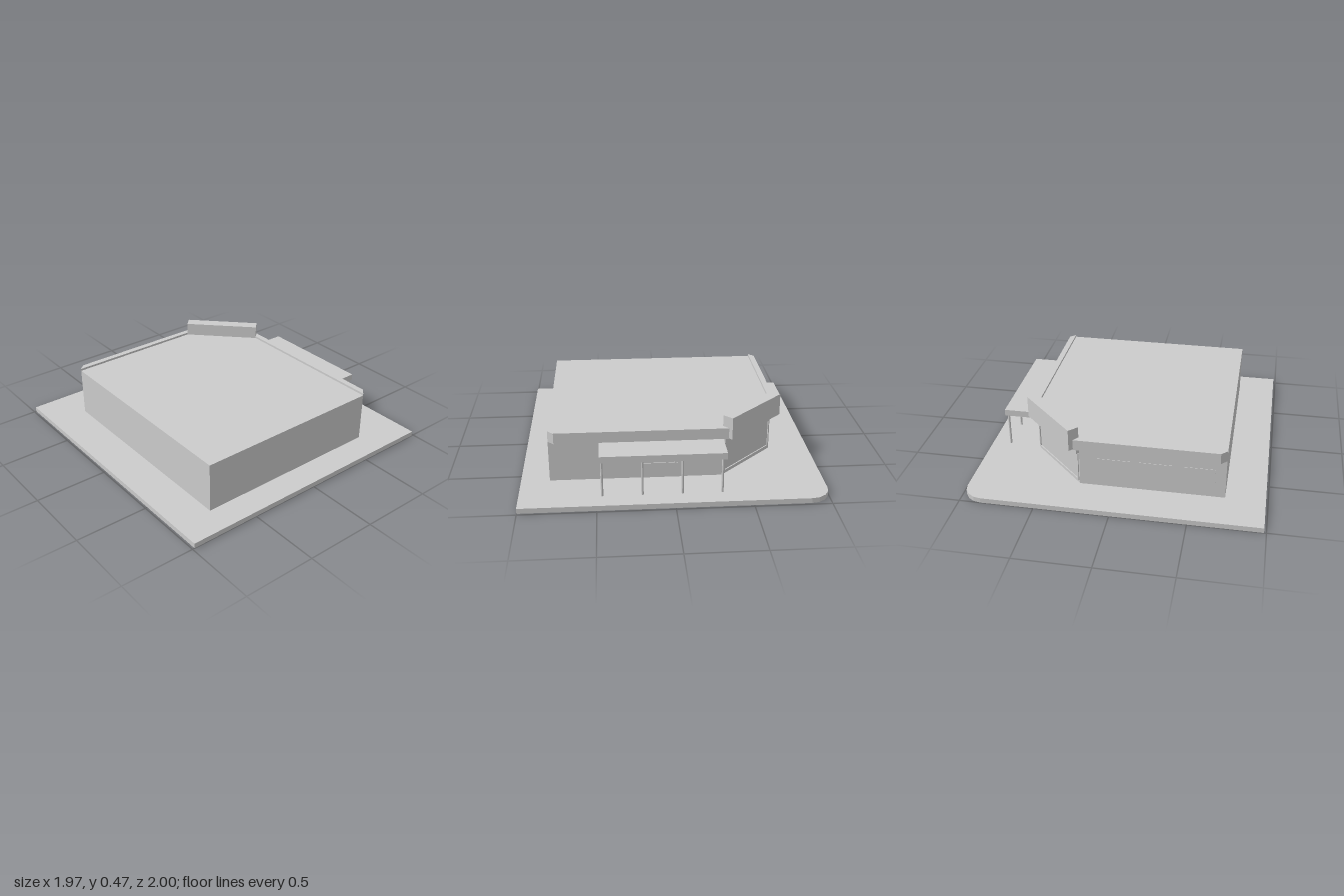
import * as THREE from 'three';

const material = new THREE.MeshStandardMaterial({ color: 0xcccccc, flatShading: true });

export function createModel() {
  const model = new THREE.Group();

  const add = (name, geometry, parent = model) => {
    const mesh = new THREE.Mesh(geometry, material);
    mesh.name = name;
    parent.add(mesh);
    return mesh;
  };

  // Vertical prism over a floor plan of [x, z] corners
  const prism = (name, plan, y0, y1) => {
    const shape = new THREE.Shape(plan.map(([x, z]) => new THREE.Vector2(x, -z)));
    const geometry = new THREE.ExtrudeGeometry(shape, { depth: y1 - y0, bevelEnabled: false });
    geometry.rotateX(-Math.PI / 2).translate(0, y0, 0);
    return add(name, geometry);
  };

  const box = (name, x0, x1, y0, y1, z0, z1, parent = model) => {
    const mesh = add(name, new THREE.BoxGeometry(x1 - x0, y1 - y0, z1 - z0), parent);
    mesh.position.set((x0 + x1) / 2, (y0 + y1) / 2, (z0 + z1) / 2);
    return mesh;
  };

  // Paved lot with one rounded corner
  const lot = [[-0.985, 1], [0.985, 1]];
  for (let i = 0; i <= 4; i++) {
    const a = (i / 4) * Math.PI / 2;
    lot.push([0.855 + 0.13 * Math.cos(a), -0.87 - 0.13 * Math.sin(a)]);
  }
  lot.push([-0.985, -1]);
  prism('lot', lot, 0, 0.035);

  // Main hall with a chamfered corner
  prism('hall', [[-0.72, 0.81], [0.63, 0.81], [0.63, -0.335], [0.25, -0.72], [-0.72, -0.72]], 0.035, 0.38);

  // Mitred fascia strips on the two street sides
  prism('sideFascia', [[0.63, 0.81], [0.67, 0.77], [0.67, -0.37], [0.63, -0.335]], 0.32, 0.395);
  prism('backFascia', [[-0.72, -0.72], [-0.68, -0.76], [0.28, -0.76], [0.25, -0.72]], 0.32, 0.395);

  // Raised panel over the chamfered corner, with a slim lintel under it
  prism('cornerPanel', [[0.25, -0.72], [0.63, -0.335], [0.685, -0.39], [0.305, -0.775]], 0.32, 0.472);
  prism('cornerLintel', [[0.25, -0.72], [0.63, -0.335], [0.645, -0.35], [0.265, -0.735]], 0.275, 0.32);

  // Shop window in the chamfered wall: local z points outwards
  const cornerWindow = new THREE.Group();
  cornerWindow.name = 'cornerWindow';
  cornerWindow.position.set(0.44, 0.16, -0.5275);
  cornerWindow.rotation.y = Math.PI * 0.75;
  model.add(cornerWindow);
  for (const s of [-1, 1]) {
    box('windowJamb', s * 0.255 - 0.006, s * 0.255 + 0.006, -0.105, 0.105, 0, 0.008, cornerWindow);
    box('windowRail', -0.25, 0.25, s * 0.1 - 0.006, s * 0.1 + 0.006, 0, 0.008, cornerWindow);
  }

  // Entrance canopy on four round posts
  box('canopy', 0.63, 0.875, 0.275, 0.32, -0.335, 0.48);
  for (let i = 0; i < 4; i++) {
    add('canopyPost', new THREE.CylinderGeometry(0.008, 0.008, 0.24, 12))
      .position.set(0.857, 0.155, 0.465 - i * 0.258);
  }

  // Entrance door with a push bar
  box('door', 0.625, 0.633, 0.035, 0.235, -0.05, 0.2);
  box('doorBar', 0.63, 0.639, 0.137, 0.143, -0.04, 0.19);
  box('doorHandle', 0.63, 0.642, 0.135, 0.155, -0.028, -0.018);

  // Row of shallow windows on the back wall
  for (const x of [0.02, -0.26, -0.54]) {
    box('backWindow', x - 0.11, x + 0.11, 0.14, 0.245, -0.723, -0.715);
  }

  return model;
}
